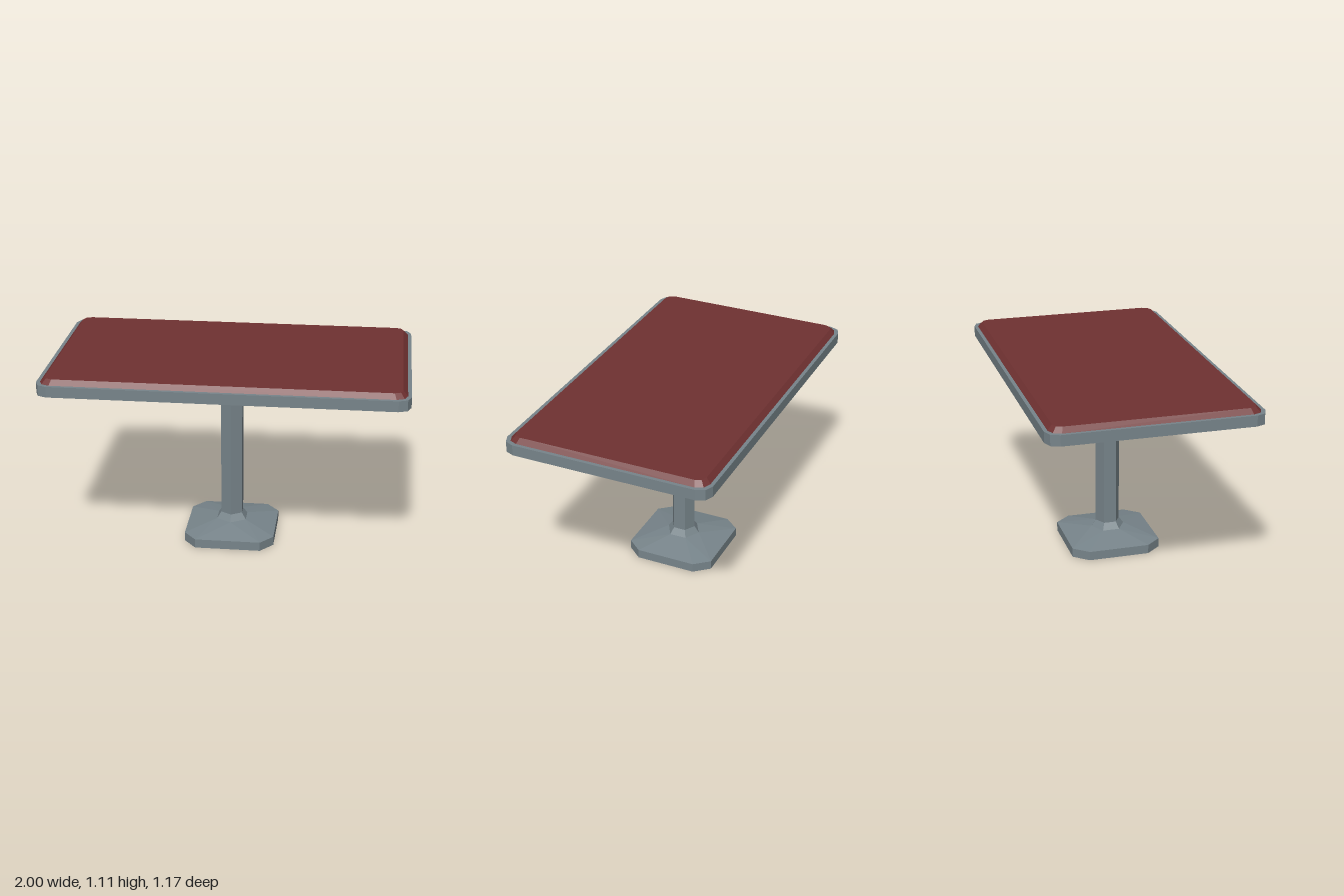
import * as THREE from 'three';
import { ConvexGeometry } from 'three/addons/geometries/ConvexGeometry.js';

const steel = new THREE.MeshStandardMaterial({ name: 'grey steel', color: 0x77848a, flatShading: true });
const red = new THREE.MeshStandardMaterial({ name: 'dark red', color: 0x6f3131, flatShading: true });

// Rectangle outline with corners rounded in two straight steps
function roundedOutline(w, d, r) {
  const points = [];
  const corners = [[1, 1], [-1, 1], [-1, -1], [1, -1]];
  corners.forEach(([sx, sz], i) => {
    for (let k = 0; k <= 2; k++) {
      const a = (i + k / 2) * Math.PI / 2;
      points.push(new THREE.Vector2(sx * (w - r) + r * Math.cos(a), sz * (d - r) + r * Math.sin(a)));
    }
  });
  return points;
}

// Lay an outline flat at a given height
const atHeight = (outline, y) => outline.map((p) => new THREE.Vector3(p.x, y, p.y));

function add(group, name, geometry, material, y = 0) {
  const mesh = new THREE.Mesh(geometry, material);
  mesh.name = name;
  mesh.position.y = y;
  group.add(mesh);
  return mesh;
}

export function createModel() {
  const table = new THREE.Group();
  table.name = 'pedestalTable';

  // Foot: cut-corner plate sloping up to a hexagonal collar
  const plate = [];
  for (const sx of [-1, 1]) for (const sz of [-1, 1]) {
    plate.push(new THREE.Vector2(sx * 0.258, sz * 0.174), new THREE.Vector2(sx * 0.187, sz * 0.258));
  }
  const collarRing = [];
  for (let i = 0; i < 6; i++) {
    const a = i * Math.PI / 3;
    collarRing.push(new THREE.Vector2(0.097 * Math.sin(a), 0.097 * Math.cos(a)));
  }
  add(table, 'foot', new ConvexGeometry([
    ...atHeight(plate, 0), ...atHeight(plate, 0.052), ...atHeight(collarRing, 0.092),
  ]), steel);

  // Hexagonal post with a flared collar
  add(table, 'collar', new THREE.CylinderGeometry(0.07, 0.097, 0.038, 6, 1, true), steel, 0.111);
  add(table, 'post', new THREE.CylinderGeometry(0.07, 0.07, 0.87, 6, 1, true), steel, 0.565);

  // Square mounting plate under the top
  add(table, 'mountingPlate', new THREE.BoxGeometry(0.274, 0.02, 0.274), steel, 1.01);

  // Metal rim around the top
  const rimShape = new THREE.Shape(roundedOutline(1, 0.583, 0.068));
  rimShape.holes.push(new THREE.Path(roundedOutline(0.98, 0.563, 0.06)));
  const rim = new THREE.ExtrudeGeometry(rimShape, { depth: 0.06, bevelEnabled: false });
  rim.rotateX(-Math.PI / 2);
  add(table, 'rim', rim, steel, 1.02);

  // Table top panel with a bevelled upper edge
  const panel = roundedOutline(0.98, 0.563, 0.06);
  add(table, 'tabletop', new ConvexGeometry([
    ...atHeight(panel, 1.02), ...atHeight(panel, 1.08),
    ...atHeight(roundedOutline(0.955, 0.538, 0.045), 1.107),
  ]), red);

  return table;
}
